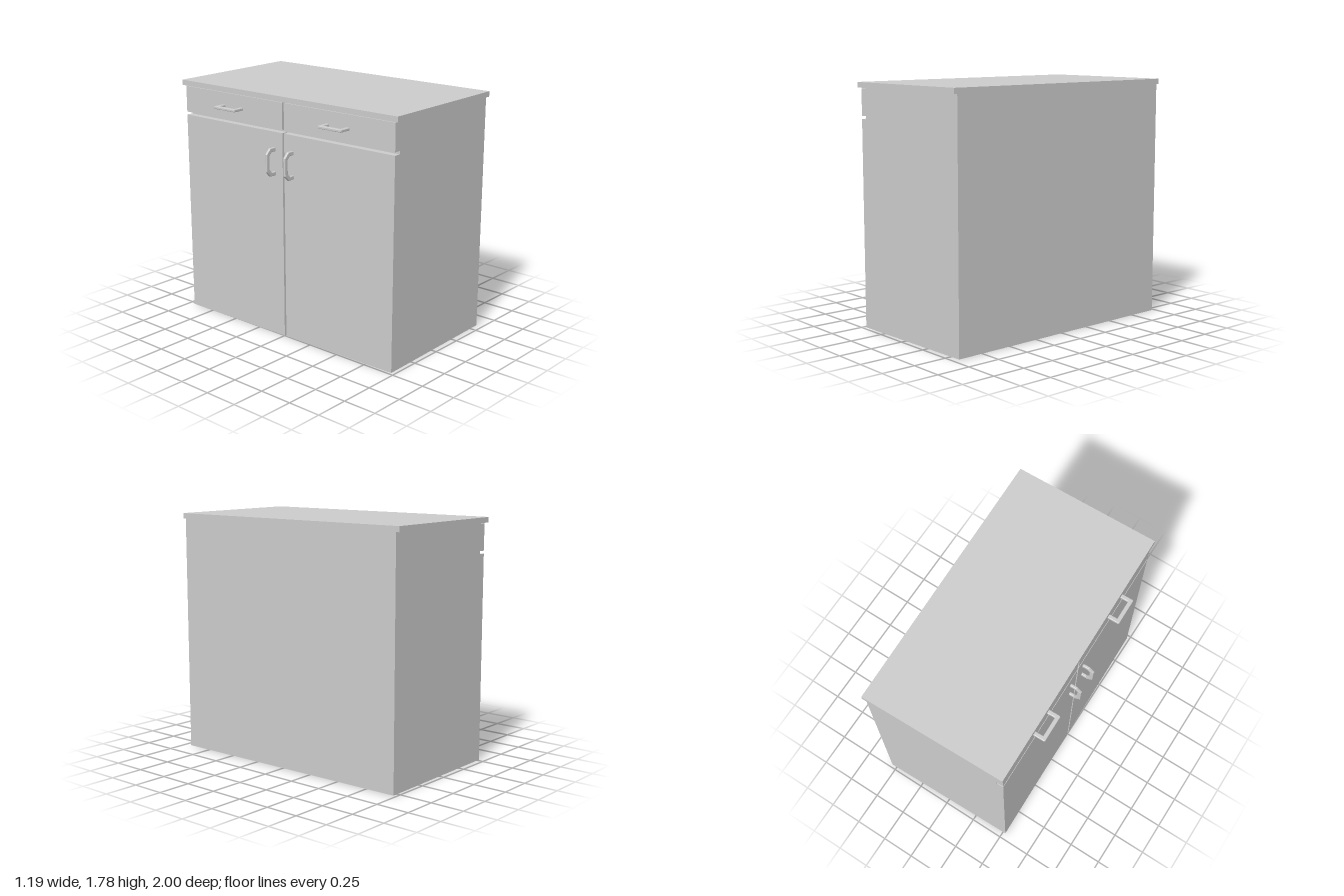
import * as THREE from 'three';

const material = new THREE.MeshStandardMaterial({ color: 0xcccccc, flatShading: true });

// Box given by its minimum and maximum corners
function block(name, [x0, y0, z0], [x1, y1, z1]) {
  const mesh = new THREE.Mesh(new THREE.BoxGeometry(x1 - x0, y1 - y0, z1 - z0), material);
  mesh.name = name;
  mesh.position.set((x0 + x1) / 2, (y0 + y1) / 2, (z0 + z1) / 2);
  return mesh;
}

// Flat U-shaped pull: shape x reaches outwards, shape y runs along the bar
function handleGeometry(chamfer) {
  const b = 0.005, half = 0.102 - b, reach = 0.088 - b, t = 0.029 - 2 * b, c = chamfer;
  const outer = [[-0.01, -half], [reach - c, -half], [reach, -half + c], [reach, half - c], [reach - c, half], [-0.01, half]];
  const k = c * 0.75;
  const inner = [[-0.01, half - t], [reach - t - k, half - t], [reach - t, half - t - k],
    [reach - t, -half + t + k], [reach - t - k, -half + t], [-0.01, -half + t]];
  const shape = new THREE.Shape([...outer, ...inner].map(([x, y]) => new THREE.Vector2(x, y)));
  const geometry = new THREE.ExtrudeGeometry(shape, {
    depth: 0.01, bevelEnabled: true, bevelThickness: b, bevelSize: b, bevelSegments: 2,
  });
  return geometry.translate(0, 0, -0.005).rotateY(Math.PI);
}

export function createModel() {
  const model = new THREE.Group();
  model.name = 'cabinet';
  const cabinet = new THREE.Group();
  cabinet.name = 'cabinetBody';
  // The whole cabinet stands slightly turned, with its doors towards -x
  cabinet.rotation.y = 0.0215;
  cabinet.position.set(0.026, 0, -0.002);
  model.add(cabinet);

  const L = 0.963, front = -0.526, recess = -0.476, back = 0.538, gap = 0.008;

  // Carcass and overhanging worktop
  cabinet.add(block('carcass', [recess, 0, -L], [back, 1.741, L]));
  cabinet.add(block('worktop', [-0.538, 1.741, -0.988], [back, 1.78, 0.988]));

  const doorHandle = handleGeometry(0.035);
  const drawerHandle = handleGeometry(0.003).rotateX(Math.PI / 2);

  for (const side of [-1, 1]) {
    const z0 = side < 0 ? -L : gap, z1 = side < 0 ? -gap : L;
    // Door and drawer fronts, split by narrow gaps
    cabinet.add(block('door', [front, 0, z0], [recess, 1.519, z1]));
    cabinet.add(block('drawerFront', [front, 1.541, z0], [recess, 1.735, z1]));

    // Upright pulls on the doors, level pulls on the drawers
    const doorPull = new THREE.Mesh(doorHandle, material);
    doorPull.name = 'doorHandle';
    doorPull.position.set(front, 1.307, side * 0.085);
    const drawerPull = new THREE.Mesh(drawerHandle, material);
    drawerPull.name = 'drawerHandle';
    drawerPull.position.set(front, 1.637, side * 0.486);
    cabinet.add(doorPull, drawerPull);
  }
  return model;
}
